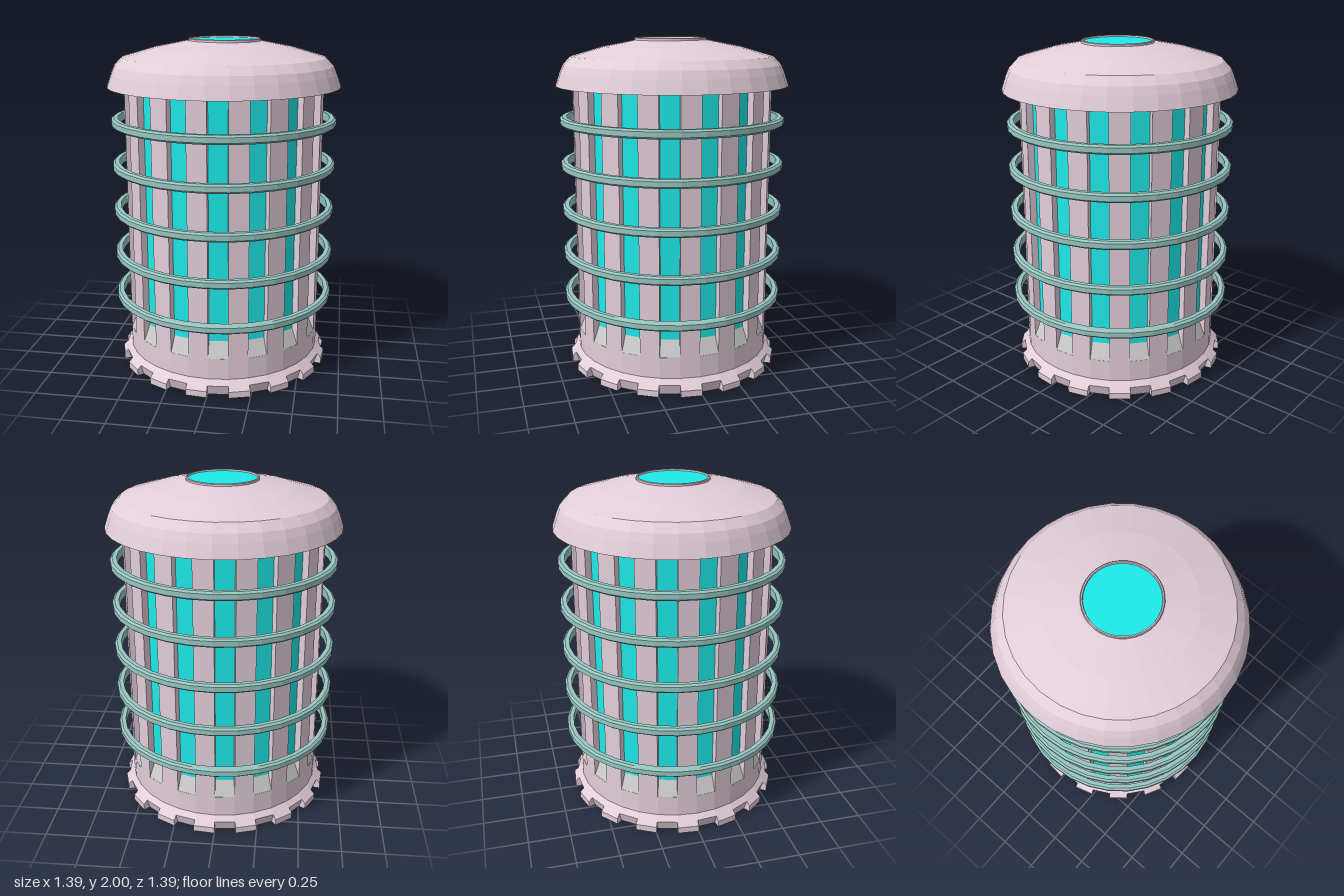
import * as THREE from 'three';
import { mergeGeometries } from 'three/addons/utils/BufferGeometryUtils.js';

const SIDES = 32;
const STEP = (Math.PI * 2) / SIDES;

const paint = (color) => new THREE.MeshStandardMaterial({ color, flatShading: true });
const shellMat = paint(0xe2ced9);
const glowMat = paint(0x1eeaea);
const ringMat = paint(0x98c6c0);
const sillMat = paint(0xd0d4d0);

const points = (list) => list.map(([r, y]) => new THREE.Vector2(r, y));

// Separate the faces so every facet has its own normal
function facet(geometry) {
  const g = geometry.toNonIndexed();
  g.computeVertexNormals();
  return g;
}

// Full turn of a profile (outer side listed upwards)
const turn = (profile) => facet(new THREE.LatheGeometry(points(profile), SIDES));

// Solid sector one facet wide, from a counter-clockwise (radius, height) outline
function wedge(outline, phi) {
  const pts = points(outline);
  const skin = new THREE.LatheGeometry([...pts, pts[0].clone()], 1, phi, STEP);
  const start = new THREE.ShapeGeometry(new THREE.Shape(pts));
  const end = start.clone();
  end.setIndex([...end.index.array].reverse());
  start.rotateY(phi - Math.PI / 2);
  end.rotateY(phi + STEP - Math.PI / 2);
  return mergeGeometries([skin, start, end].map(facet));
}

// Repeat a wedge on every second facet; offset 0 = slots, 1 = ribs
function wedges(outline, offset) {
  const parts = [];
  for (let i = offset; i < SIDES; i += 2) parts.push(wedge(outline, i * STEP));
  return mergeGeometries(parts);
}

export function createModel() {
  const model = new THREE.Group();
  const add = (name, geometry, material) => {
    const mesh = new THREE.Mesh(geometry, material);
    mesh.name = name;
    model.add(mesh);
    return mesh;
  };

  // Closed foot with an undercut, flared skirt and lower wall
  add('base', turn([
    [0, 0], [0.607, 0], [0.626, 0.062], [0.596, 0.092], [0.596, 0.22], [0.54, 0.22],
  ]), shellMat);
  add('footTeeth', wedges([
    [0.6, 0], [0.65, 0], [0.65, 0.038], [0.626, 0.062], [0.6, 0.062],
  ], 1), shellMat);

  // Glowing core behind the slots
  add('core', turn([[0.556, 0.21], [0.556, 1.8]]), glowMat);

  // Ribs and the sloping sills between them
  add('ribs', wedges([[0.54, 0.2], [0.596, 0.2], [0.596, 1.8], [0.54, 1.8]], 1), shellMat);
  add('slotSills', wedges([[0.54, 0.2], [0.595, 0.2], [0.595, 0.221], [0.556, 0.315], [0.54, 0.315]], 0), sillMat);

  // Brackets carrying the cap
  add('capBrackets', wedges([[0.55, 1.724], [0.68, 1.724], [0.66, 1.8], [0.55, 1.8]], 1), shellMat);

  // Domed cap with a recessed underside
  add('cap', turn([
    [0, 1.785], [0.66, 1.785], [0.678, 1.722], [0.695, 1.722], [0.668, 1.8], [0.648, 1.845],
    [0.603, 1.892], [0.41, 1.948], [0.215, 1.986], [0, 1.986],
  ]), shellMat);

  // Round window on top, set very slightly off centre
  const rim = add('windowRim', turn([
    [0.214, 1.975], [0.214, 1.996], [0.21, 2], [0.203, 2], [0.199, 1.985],
  ]), shellMat);
  const lens = add('window', facet(new THREE.CylinderGeometry(0.204, 0.204, 0.02, SIDES)), glowMat);
  rim.position.set(0.008, 0, 0.01);
  lens.position.set(0.008, 1.981, 0.01);

  // Hoops floating around the ribs, bevelled on the outer edges
  const hoopGeometry = turn([
    [0.675, -0.015], [0.675, 0.015], [0.662, 0.026], [0.636, 0.026],
    [0.636, -0.026], [0.662, -0.026], [0.675, -0.015],
  ]);
  [0.435, 0.705, 0.978, 1.25, 1.515].forEach((y, i) => {
    add(`hoop${i + 1}`, hoopGeometry, ringMat).position.y = y;
  });

  return model;
}
